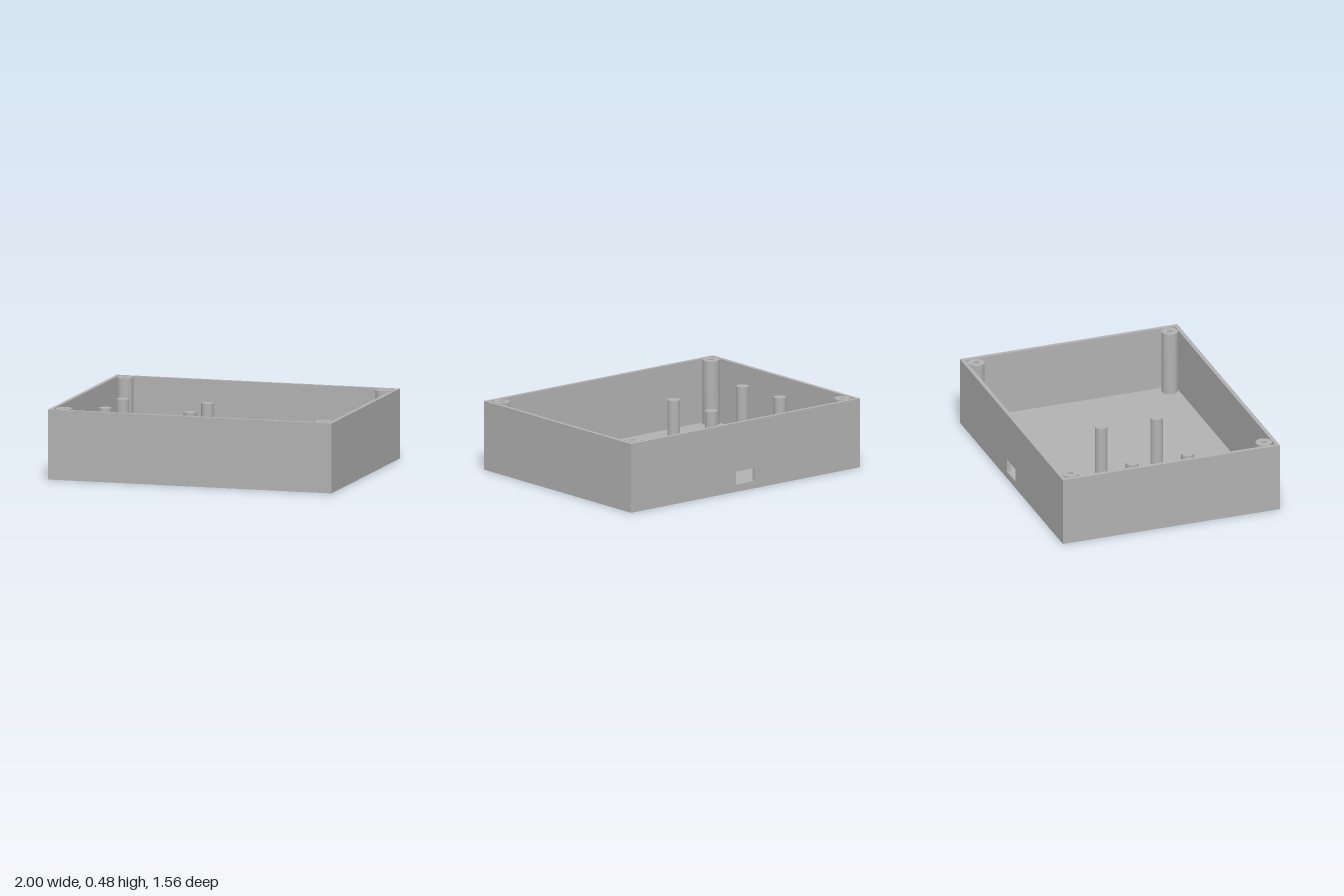
import * as THREE from 'three';
import { toCreasedNormals } from 'three/addons/utils/BufferGeometryUtils.js';

const W = 1, D = 0.78, H = 0.477;      // half width, half depth, height
const WALL = 0.027, FLOOR = 0.032;

export function createModel() {
  const group = new THREE.Group();
  const grey = new THREE.MeshStandardMaterial({ color: 0xb2b2b2 });
  grey.name = 'grey plastic';

  const add = (name, geometry, x, y, z) => {
    const mesh = new THREE.Mesh(geometry, grey);
    mesh.name = name;
    mesh.position.set(x, y, z);
    group.add(mesh);
  };

  // Tray floor and the three plain walls
  const wallH = H - FLOOR, wallY = FLOOR + wallH / 2;
  add('floor', new THREE.BoxGeometry(2 * W, FLOOR, 2 * D), 0, FLOOR / 2, 0);
  add('frontWall', new THREE.BoxGeometry(2 * W, wallH, WALL), 0, wallY, D - WALL / 2);
  for (const s of [-1, 1]) {
    add(s > 0 ? 'leftWall' : 'rightWall',
      new THREE.BoxGeometry(WALL, wallH, 2 * (D - WALL)), s * (W - WALL / 2), wallY, 0);
  }

  // Back wall with the cable port cut through it
  const back = new THREE.Shape([
    new THREE.Vector2(-W, FLOOR), new THREE.Vector2(W, FLOOR),
    new THREE.Vector2(W, H), new THREE.Vector2(-W, H),
  ]);
  back.holes.push(new THREE.Path([
    new THREE.Vector2(-0.082, 0.05), new THREE.Vector2(-0.082, 0.14),
    new THREE.Vector2(0.082, 0.14), new THREE.Vector2(0.082, 0.05),
  ]));
  add('backWall', new THREE.ExtrudeGeometry(back, { depth: WALL, bevelEnabled: false }), 0, 0, -D);

  // Hollow screw posts in the corners, flush with the rim
  const post = toCreasedNormals(new THREE.LatheGeometry([
    new THREE.Vector2(0.056, FLOOR), new THREE.Vector2(0.056, H),
    new THREE.Vector2(0.018, H), new THREE.Vector2(0.018, FLOOR),
  ], 40), 0.6);
  for (const x of [-0.913, 0.913]) {
    for (const z of [-0.695, 0.695]) add('screwPost', post, x, 0, z);
  }

  // Solid standoffs for the circuit board
  const top = 0.412;
  const standoff = new THREE.CylinderGeometry(0.043, 0.043, top - FLOOR, 40);
  for (const x of [-0.777, -0.178]) {
    for (const z of [-0.201, 0.198]) add('boardStandoff', standoff, x, (top + FLOOR) / 2, z);
  }

  return group;
}
